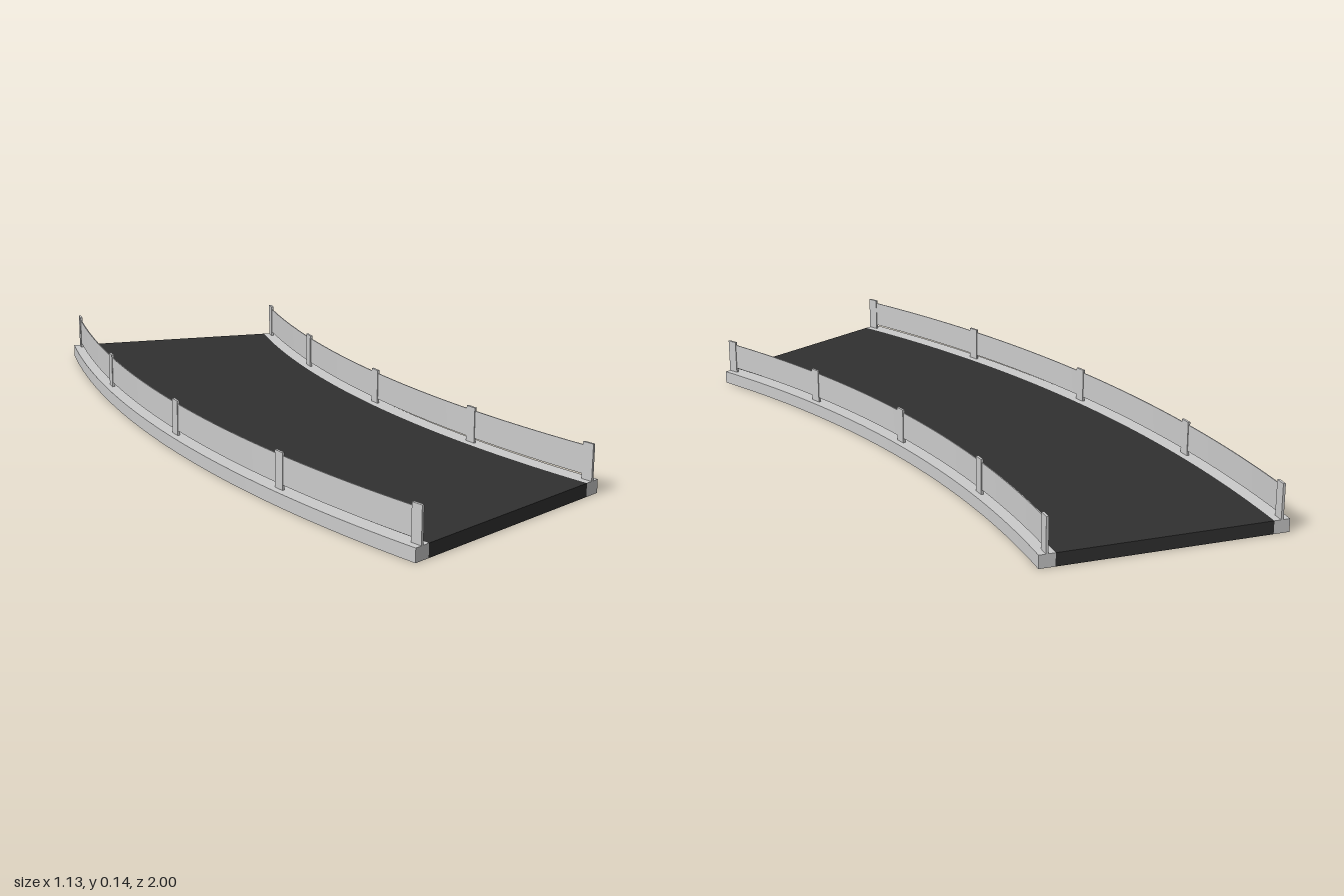
import * as THREE from 'three';
import { toCreasedNormals } from 'three/addons/utils/BufferGeometryUtils.js';

// Bend centre in plan, swept angle and edge radii
const CX = 3.435, CZ = 1;
const SWEEP = 30;
const OUTER = 4.0, INNER = 3.314, CURB = 0.045;
const DECK = 0.037;
const rad = THREE.MathUtils.degToRad;

const grey = new THREE.MeshStandardMaterial({ color: 0xcccccc });
const asphalt = new THREE.MeshStandardMaterial({ color: 0x313131 });

// Curved slab between two radii, two heights and two angles (degrees)
function arcSlab(name, rIn, rOut, y0, y1, material, a0 = 0, a1 = SWEEP) {
  const start = Math.PI - rad(a0), end = Math.PI - rad(a1);
  const shape = new THREE.Shape();
  shape.absarc(CX, -CZ, rOut, start, end, true);
  shape.absarc(CX, -CZ, rIn, end, start, false);
  const extruded = new THREE.ExtrudeGeometry(shape, {
    depth: y1 - y0, bevelEnabled: false, curveSegments: 32,
  });
  extruded.rotateX(-Math.PI / 2);
  extruded.translate(0, y0, 0);
  const mesh = new THREE.Mesh(toCreasedNormals(extruded, rad(30)), material);
  mesh.name = name;
  return mesh;
}

// Guard rail: thin curved panel carried by five flat posts
function guardRail(name, r) {
  const rail = new THREE.Group();
  rail.name = name;
  rail.add(arcSlab('railPanel', r - 0.0015, r + 0.0015, 0.05, 0.127, grey, 0.1, SWEEP - 0.1));
  const top = 0.136, width = 0.032, inset = rad(SWEEP) - 0.5 * width / r;
  const angles = [0.5 * width / r, rad(7.32), rad(15), rad(22.68), inset];
  const geometry = new THREE.BoxGeometry(0.007, top - DECK, width);
  for (const a of angles) {
    const post = new THREE.Mesh(geometry, grey);
    post.name = 'railPost';
    post.position.set(CX - r * Math.cos(a), (top + DECK) / 2, CZ - r * Math.sin(a));
    post.rotation.y = -a;
    rail.add(post);
  }
  return rail;
}

export function createModel() {
  const model = new THREE.Group();
  model.name = 'curvedRoad';

  // Road deck and the curbs along both edges
  model.add(arcSlab('roadDeck', INNER + CURB, OUTER - CURB, 0, DECK, asphalt));
  model.add(arcSlab('outerCurb', OUTER - CURB, OUTER, 0, DECK, grey));
  model.add(arcSlab('innerCurb', INNER, INNER + CURB, 0, DECK, grey));

  // Guard rails along the middle of each curb
  model.add(guardRail('outerGuardRail', OUTER - CURB / 2));
  model.add(guardRail('innerGuardRail', INNER + CURB / 2));
  return model;
}
